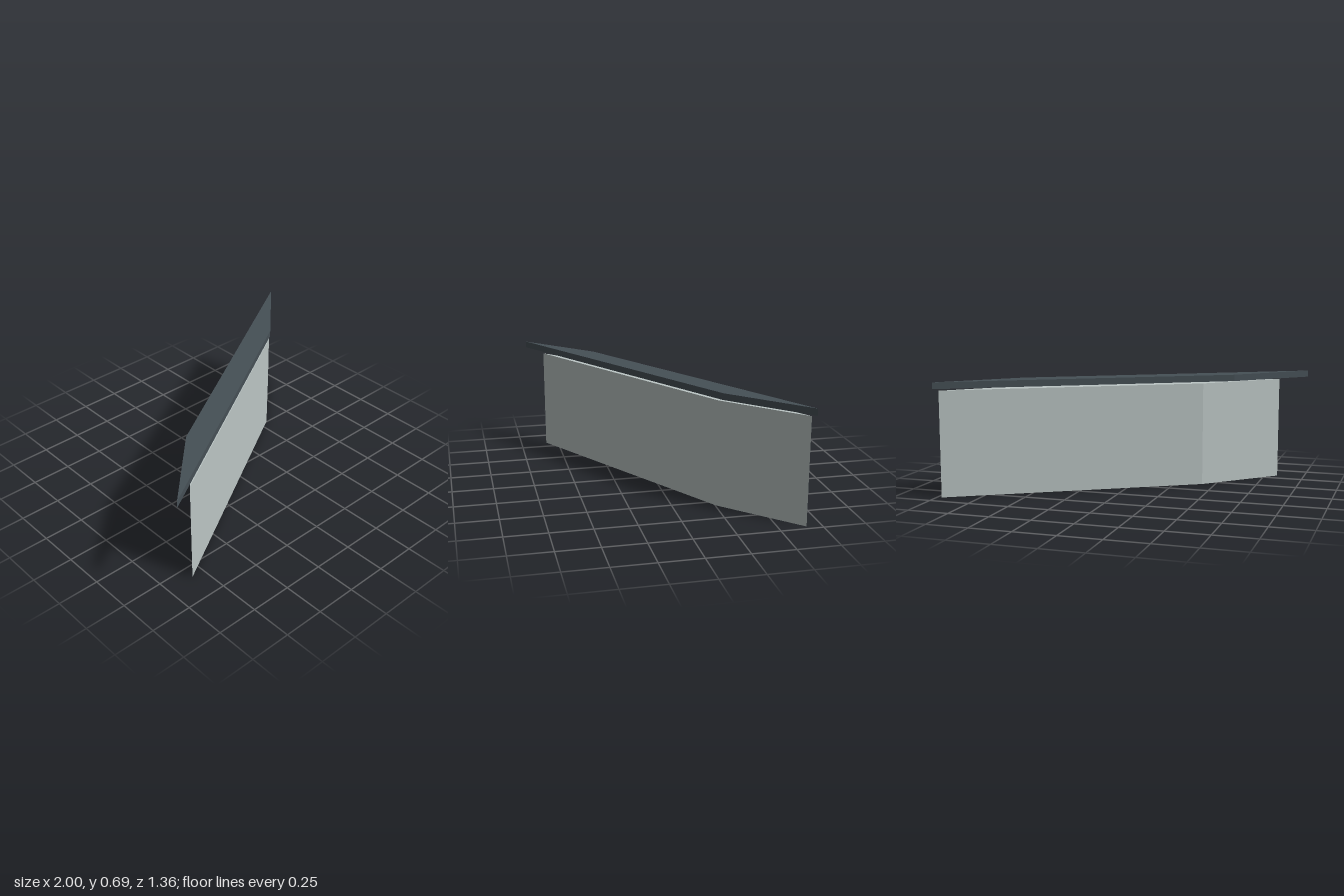
import * as THREE from 'three';

// Upright prism over a slanted ground plan given as [x, z] corners.
function prism(name, plan, bottom, top, color) {
  const shape = new THREE.Shape(plan.map(([x, z]) => new THREE.Vector2(x, -z)));
  const geometry = new THREE.ExtrudeGeometry(shape, { depth: top - bottom, bevelEnabled: false });
  geometry.rotateX(-Math.PI / 2);
  geometry.translate(0, bottom, 0);
  const mesh = new THREE.Mesh(geometry, new THREE.MeshStandardMaterial({ color, flatShading: true }));
  mesh.name = name;
  return mesh;
}

export function createModel() {
  const model = new THREE.Group();
  model.name = 'slantedBuilding';

  // Walls: closed block on a sheared plan
  const wallPlan = [[-0.83, 0.58], [0.56, -0.255], [0.97, -0.66], [-0.42, 0.175]];
  model.add(prism('walls', wallPlan, 0, 0.64, 0xbcc6c5));

  // Flat roof slab, overhanging and set just above the walls
  const roofPlan = [[-1, 0.68], [0.595, -0.275], [1, -0.68], [-0.595, 0.275]];
  model.add(prism('roofSlab', roofPlan, 0.65, 0.69, 0x465056));

  return model;
}
